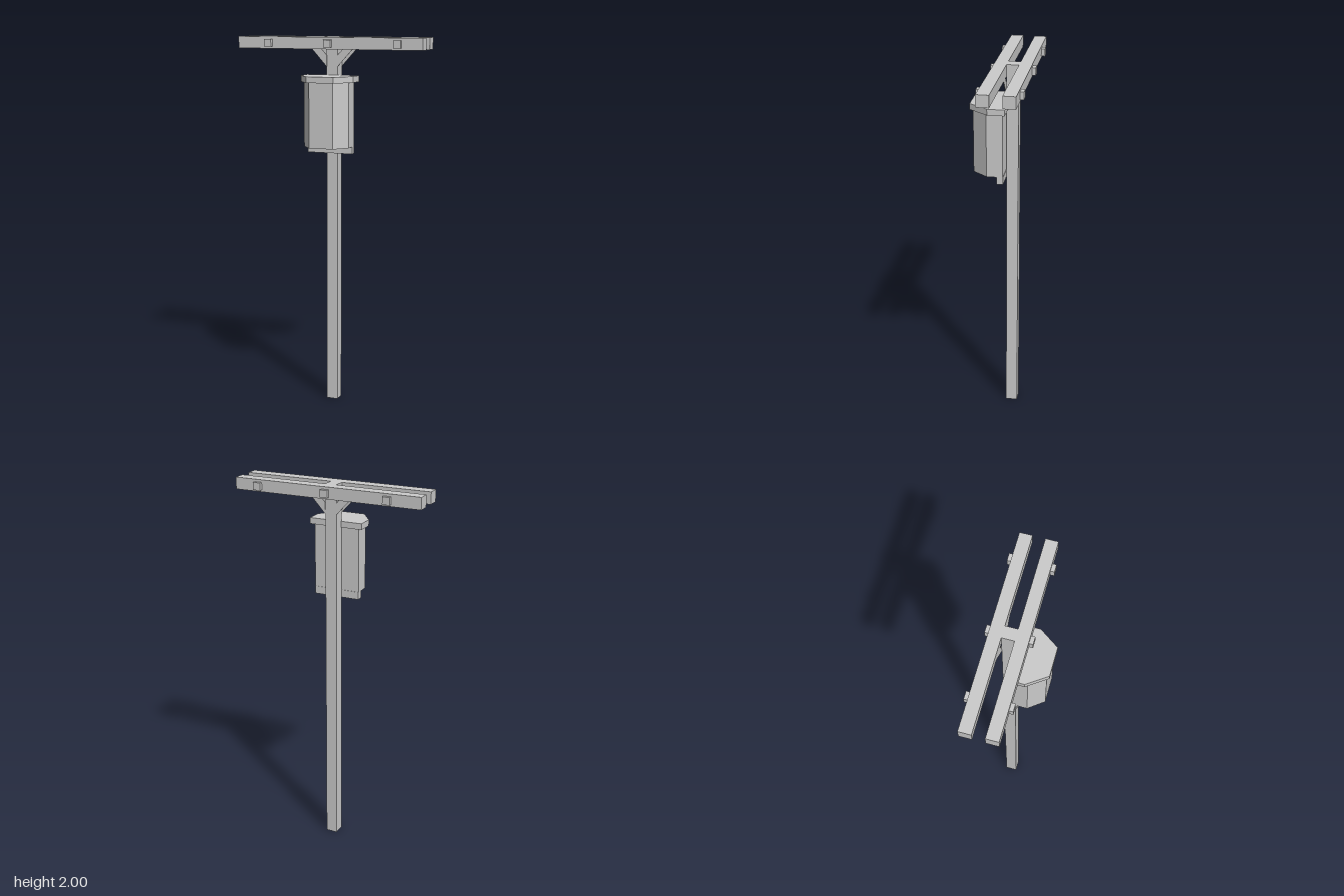
import * as THREE from 'three';

export function createModel() {
  const model = new THREE.Group();
  const material = new THREE.MeshStandardMaterial({ color: 0xcccccc, flatShading: true });

  function add(name, geometry) {
    const mesh = new THREE.Mesh(geometry, material);
    mesh.name = name;
    model.add(mesh);
    return mesh;
  }

  // Box given by its limits on each axis
  function box(name, x0, x1, y0, y1, z0, z1) {
    const mesh = add(name, new THREE.BoxGeometry(x1 - x0, y1 - y0, z1 - z0));
    mesh.position.set((x0 + x1) / 2, (y0 + y1) / 2, (z0 + z1) / 2);
  }

  // Upright prism with a straight back and bevelled front corners
  function bay(name, half, frontHalf, back, corner, front, y0, y1) {
    const outline = [[half, back], [half, corner], [frontHalf, front],
      [-frontHalf, front], [-half, corner], [-half, back]];
    const shape = new THREE.Shape(outline.map(([x, z]) => new THREE.Vector2(x, -z)));
    const geometry = new THREE.ExtrudeGeometry(shape, { depth: y1 - y0, bevelEnabled: false });
    geometry.rotateX(-Math.PI / 2);
    geometry.translate(0, y0, 0);
    add(name, geometry);
  }

  // Square post, running up between the two crossbeams
  box('post', -0.031, 0.031, 0, 2, -0.08, -0.018);

  // Crossbeams clamped to the post
  box('frontBeam', -0.512, 0.512, 1.938, 2, -0.018, 0.046);
  box('backBeam', -0.512, 0.512, 1.938, 2, -0.144, -0.08);

  // Square bolt heads standing out of both beams
  for (const x of [-0.335, 0, 0.38]) {
    box('frontBolt', x - 0.02, x + 0.02, 1.948, 1.987, 0.04, 0.066);
    box('backBolt', x - 0.02, x + 0.02, 1.948, 1.987, -0.163, -0.14);
  }

  // Thin diagonal brace plates, flush with the post's front and back
  for (const side of [1, -1]) {
    const points = [[0.03, 1.845], [0.115, 1.938], [0.06, 1.938], [0.03, 1.905]];
    const shape = new THREE.Shape(points.map(([x, y]) => new THREE.Vector2(x * side, y)));
    for (const z of [-0.083, -0.018]) {
      const geometry = new THREE.ExtrudeGeometry(shape, { depth: 0.003, bevelEnabled: false });
      geometry.translate(0, 0, z);
      add('brace', geometry);
    }
  }

  // Cabinet with its mounting plate and overhanging lid
  bay('cabinet', 0.125, 0.066, -0.014, 0.07, 0.148, 1.43, 1.772);
  box('mountingPlate', -0.125, 0.125, 1.392, 1.432, -0.016, 0.018);
  bay('lid', 0.146, 0.075, -0.028, 0.062, 0.163, 1.77, 1.802);

  return model;
}
